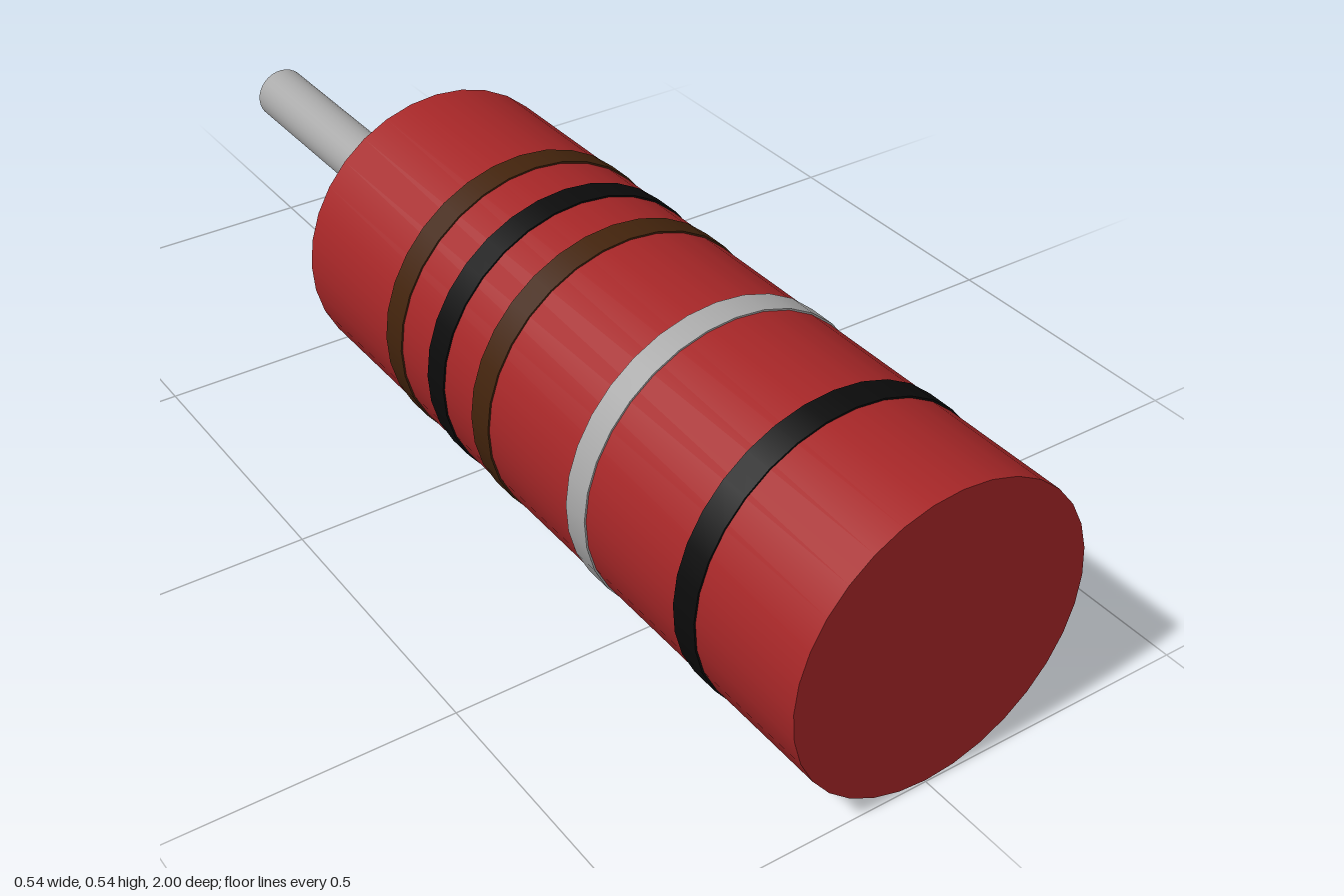
import * as THREE from 'three';

const AXIS_Y = 0.27;
const SIDES = 32;

function paint(name, color) {
  const m = new THREE.MeshStandardMaterial({ color });
  m.name = name;
  return m;
}

// Cylinder lying along z between two depths
function rod(name, radius, zBack, zFront, material) {
  const geometry = new THREE.CylinderGeometry(radius, radius, zFront - zBack, SIDES);
  geometry.rotateX(Math.PI / 2);
  const mesh = new THREE.Mesh(geometry, material);
  mesh.name = name;
  mesh.position.set(0, AXIS_Y, (zBack + zFront) / 2);
  return mesh;
}

export function createModel() {
  const red = paint('body red', 0xa52627);
  const black = paint('band black', 0x0b0b0b);
  const brown = paint('band brown', 0x42230c);
  const grey = paint('metal grey', 0xa9a9a9);

  const group = new THREE.Group();
  group.name = 'bandedComponent';

  // Main body and the single wire lead at the back
  group.add(rod('body', 0.267, -0.37, 1, red));
  group.add(rod('wireLead', 0.052, -1, -0.37, grey));

  // Thin coloured bands, front to back
  const bands = [
    ['frontBlackBand', 0.754, black],
    ['greyBand', 0.478, grey],
    ['middleBrownBand', 0.204, brown],
    ['rearBlackBand', 0.066, black],
    ['rearBrownBand', -0.071, brown],
  ];
  for (const [name, z, material] of bands) {
    group.add(rod(name, 0.27, z - 0.025, z + 0.025, material));
  }
  return group;
}
